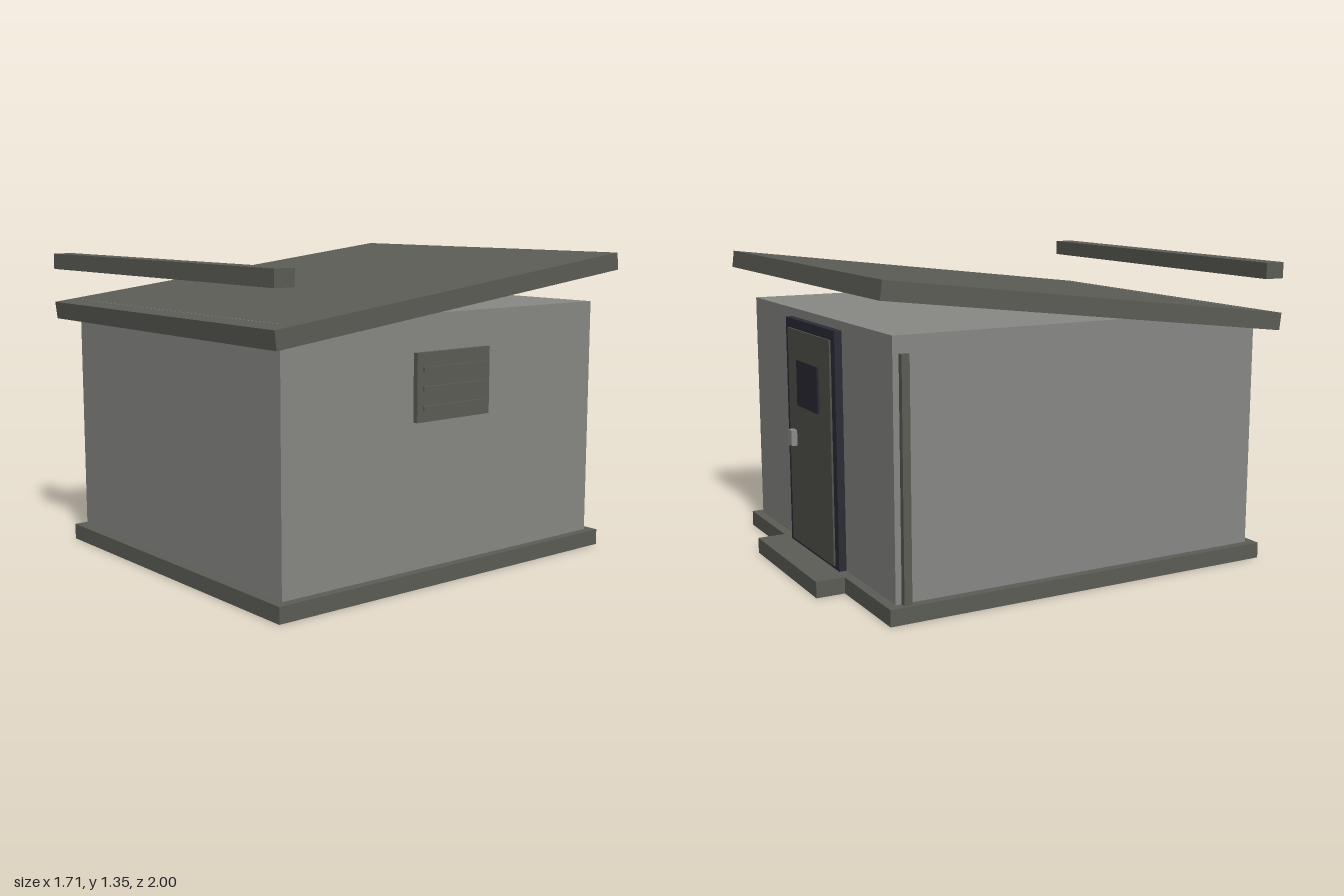
import * as THREE from 'three';

const material = (name, color) => {
  const m = new THREE.MeshStandardMaterial({ color });
  m.name = name;
  return m;
};

export function createModel() {
  const group = new THREE.Group();
  group.name = 'utilityShed';

  const wall = material('wall grey', 0x888885);
  const concrete = material('dark concrete', 0x5d5d57);
  const doorGrey = material('door grey', 0x53534d);
  const frameDark = material('frame dark blue', 0x2c2c37);
  const glass = material('window glass', 0x2a2a34);
  const metal = material('handle metal', 0x8c8c88);

  // Box given by its extents along each axis
  const box = (name, mat, [x0, x1], [y0, y1], [z0, z1]) => {
    const mesh = new THREE.Mesh(new THREE.BoxGeometry(x1 - x0, y1 - y0, z1 - z0), mat);
    mesh.position.set((x0 + x1) / 2, (y0 + y1) / 2, (z0 + z1) / 2);
    mesh.name = name;
    group.add(mesh);
    return mesh;
  };

  // Foundation slab, door step and walls
  box('foundation', concrete, [-0.81, 0.81], [0, 0.07], [-0.873, 0.957]);
  box('doorStep', concrete, [-0.358, 0.358], [0, 0.07], [-1, -0.873]);
  box('walls', wall, [-0.77, 0.77], [0.07, 1.13], [-0.832, 0.915]);

  // Sloping roof slab, high at the back
  const roof = new THREE.Mesh(new THREE.BoxGeometry(1.706, 0.077, 1.922), concrete);
  roof.name = 'roof';
  roof.position.set(0, 1.196, 0.042);
  roof.rotation.x = 0.12;
  group.add(roof);

  // Beam hovering over the front eave
  box('frontBeam', concrete, [-0.853, 0.853], [1.27, 1.34], [0.907, 1]);

  // Door on the back wall
  box('doorFrame', frameDark, [-0.28, 0.28], [0.07, 1.092], [-0.865, -0.832]);
  box('door', doorGrey, [-0.24, 0.24], [0.085, 1.05], [-0.873, -0.86]);
  box('doorWindow', glass, [-0.12, 0.12], [0.72, 0.92], [-0.882, -0.873]);
  box('doorHandle', metal, [0.155, 0.2], [0.53, 0.6], [-0.9, -0.873]);

  // Louvred vent on the +x wall
  box('vent', concrete, [0.77, 0.793], [0.69, 0.975], [-0.163, 0.247]);
  for (const y of [0.747, 0.827, 0.907]) {
    box('ventSlat', concrete, [0.793, 0.803], [y - 0.009, y + 0.009], [-0.135, 0.217]);
  }

  // Conduit running up the -x wall near the back corner
  box('conduit', concrete, [-0.796, -0.77], [0.07, 1.06], [-0.806, -0.772]);

  return group;
}
